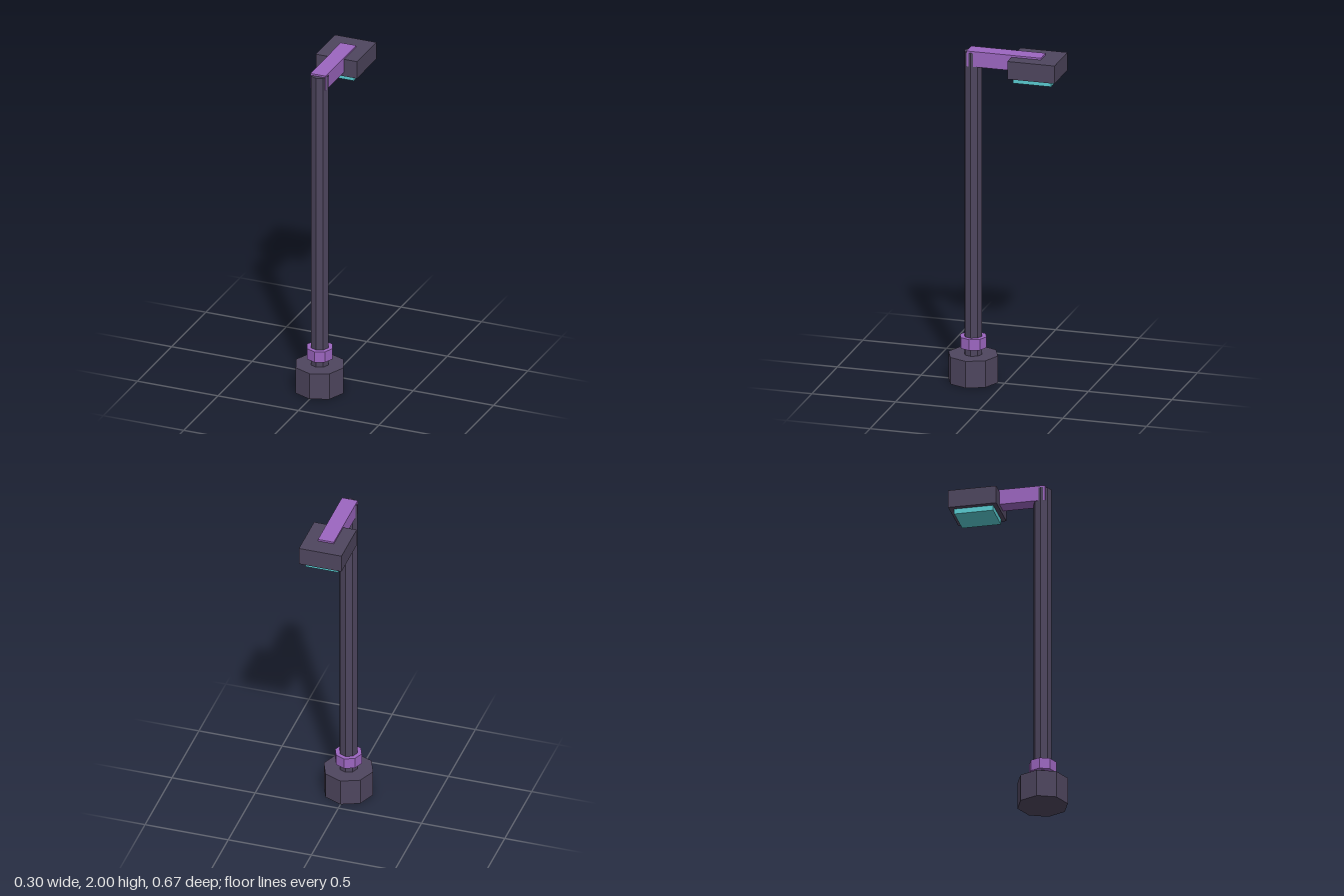
import * as THREE from 'three';

export function createModel() {
  const group = new THREE.Group();
  group.name = 'streetLamp';

  const material = (name, color) => {
    const m = new THREE.MeshStandardMaterial({ color, flatShading: true });
    m.name = name;
    return m;
  };
  const darkMetal = material('darkMetal', 0x4e465e);
  const purple = material('purple', 0x9c66c0);
  const glow = material('cyanGlow', 0x5accd2);

  const POST_Z = 0.188;

  const add = (name, geometry, mat, x, y, z) => {
    const mesh = new THREE.Mesh(geometry, mat);
    mesh.name = name;
    mesh.position.set(x, y, z);
    group.add(mesh);
  };
  // Eight-sided prism on the post axis, between two heights
  const octagon = (name, radius, y0, y1, mat) =>
    add(name, new THREE.CylinderGeometry(radius, radius, y1 - y0, 8), mat, 0, (y0 + y1) / 2, POST_Z);
  // Box centred on x, between two heights and two depths
  const box = (name, width, y0, y1, z0, z1, mat) =>
    add(name, new THREE.BoxGeometry(width, y1 - y0, z1 - z0), mat, 0, (y0 + y1) / 2, (z0 + z1) / 2);

  // Post
  octagon('base', 0.148, 0, 0.161, darkMetal);
  octagon('pole', 0.053, 0.15, 1.989, darkMetal);
  octagon('collar', 0.08, 0.204, 0.27, purple);

  // Arm and lamp head, reaching backwards
  box('arm', 0.095, 1.908, 2.0, -0.231, 0.214, purple);
  box('lampHead', 0.256, 1.882, 1.989, -0.337, -0.055, darkMetal);
  box('lightPanel', 0.198, 1.851, 1.89, -0.308, -0.08, glow);

  return group;
}
